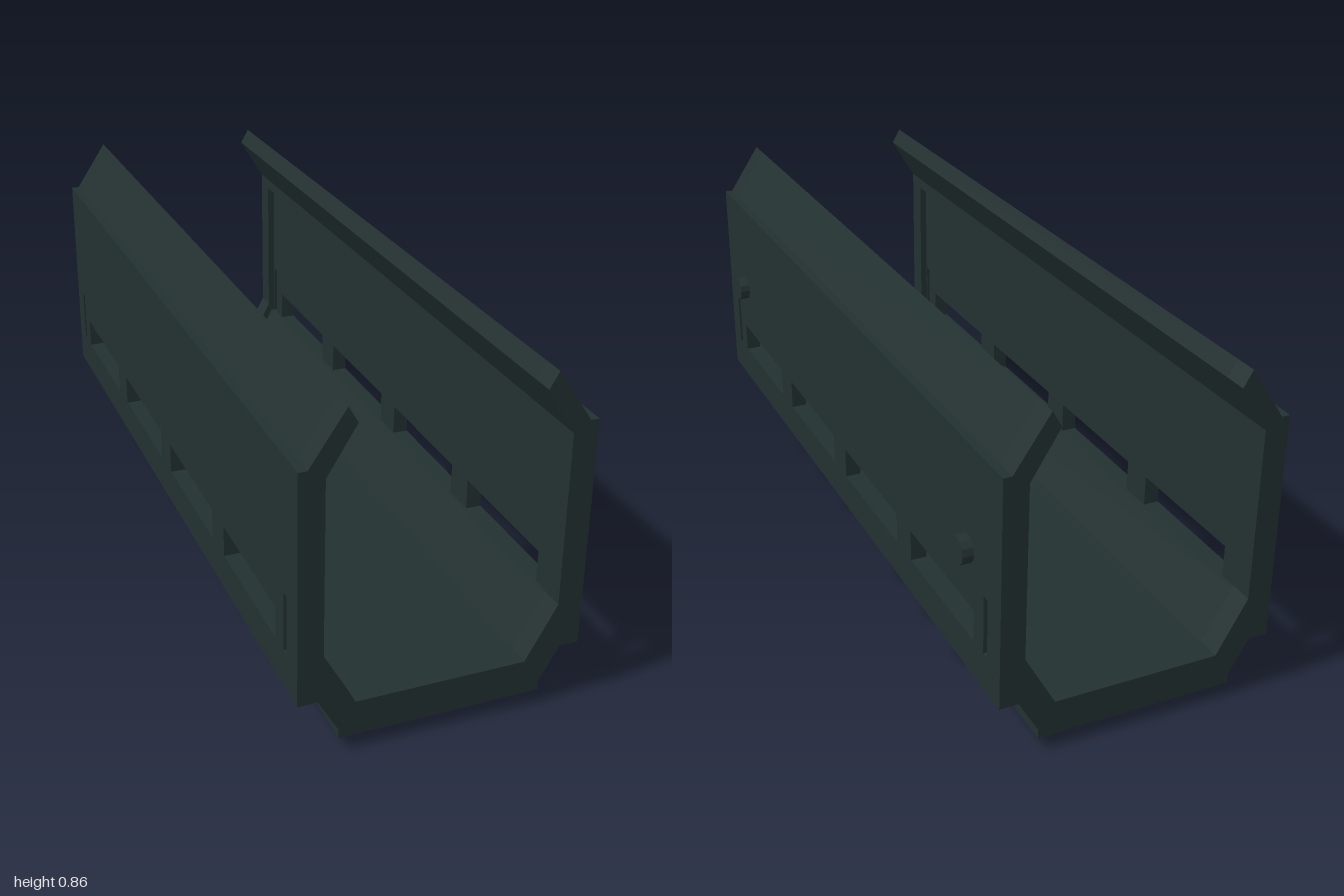
import * as THREE from 'three';

export function createModel() {
  const model = new THREE.Group();
  const body = new THREE.Group(); // symmetric channel, shifted to balance the pegs
  body.name = 'channel';
  body.position.x = -0.015;
  model.add(body);

  const darkGreenGrey = new THREE.MeshStandardMaterial({ color: 0x233030 });
  darkGreenGrey.name = 'darkGreenGrey';

  function add(name, geometry, x = 0, y = 0, z = 0) {
    const mesh = new THREE.Mesh(geometry, darkGreenGrey);
    mesh.name = name;
    mesh.position.set(x, y, z);
    body.add(mesh);
    return mesh;
  }
  const extrude = (pts, depth) => new THREE.ExtrudeGeometry(
    new THREE.Shape(pts.map(([x, y]) => new THREE.Vector2(x, y))),
    { depth, bevelEnabled: false });
  const mirror = pts => pts.map(([x, y]) => [-x, y]).reverse();

  const RIB = 0.06, END = 1 - RIB;

  // Outer skin shared by the end ribs and the trough (right half, bottom up)
  const skirt = [[0.25, 0.036], [0.25, 0.06], [0.3, 0.147], [0.348, 0.147]];
  // Inward-leaning lip on top of the walls
  const lip = [[0.348, 0.725], [0.327, 0.725], [0.24, 0.855], [0.217, 0.815], [0.287, 0.7]];

  // Thick U-shaped ribs at both ends
  const ribHalf = [...skirt, ...lip, [0.287, 0.262], [0.21, 0.125]];
  for (const [name, z] of [['frontRib', END], ['backRib', -1]]) {
    add(name, extrude([...ribHalf, ...mirror(ribHalf)], RIB), 0, 0, z);
  }

  // Floor and sloping sides between the ribs, slightly recessed
  const troughHalf = [...skirt, [0.348, 0.24], [0.2975, 0.24], [0.2215, 0.105]];
  add('trough', extrude([...troughHalf, ...mirror(troughHalf)], 2 * END), 0, 0, -END);

  // Thin side walls with slots cut up from the trough: [start, end, top]
  const cuts = [
    [-0.935, -0.915, 0.39], [-0.865, -0.5, 0.322], [-0.41, -0.045, 0.322],
    [0.045, 0.41, 0.322], [0.5, 0.865, 0.322], [0.915, 0.935, 0.39],
  ];
  const wall = [[-END, 0.24]];
  for (const [a, b, top] of cuts) wall.push([a, 0.24], [a, top], [b, top], [b, 0.24]);
  wall.push([END, 0.24], [END, 0.67], [-END, 0.67]);
  const wallGeometry = extrude(wall, 0.041).rotateY(Math.PI / 2);
  add('leftWall', wallGeometry, 0.307);
  add('rightWall', wallGeometry, -0.348);

  // Lips along the top edges
  const lipProfile = [[0.287, 0.67], [0.348, 0.67], ...lip];
  add('leftLip', extrude(lipProfile, 2 * END), 0, 0, -END);
  add('rightLip', extrude(mirror(lipProfile), 2 * END), 0, 0, -END);

  // Cross rails under the floor
  for (const z of [-0.6, -0.4, -0.2, 0.2, 0.4, 0.6]) {
    add('crossRail', new THREE.BoxGeometry(0.528, 0.055, 0.06), 0, 0.0275, z);
  }

  // Pegs on the left wall only
  for (const z of [-0.83, 0.83]) {
    const peg = new THREE.CylinderGeometry(0.034, 0.034, 0.037, 12).toNonIndexed();
    peg.computeVertexNormals();
    add('peg', peg.rotateZ(-Math.PI / 2), 0.3565, 0.465, z);
  }

  return model;
}
